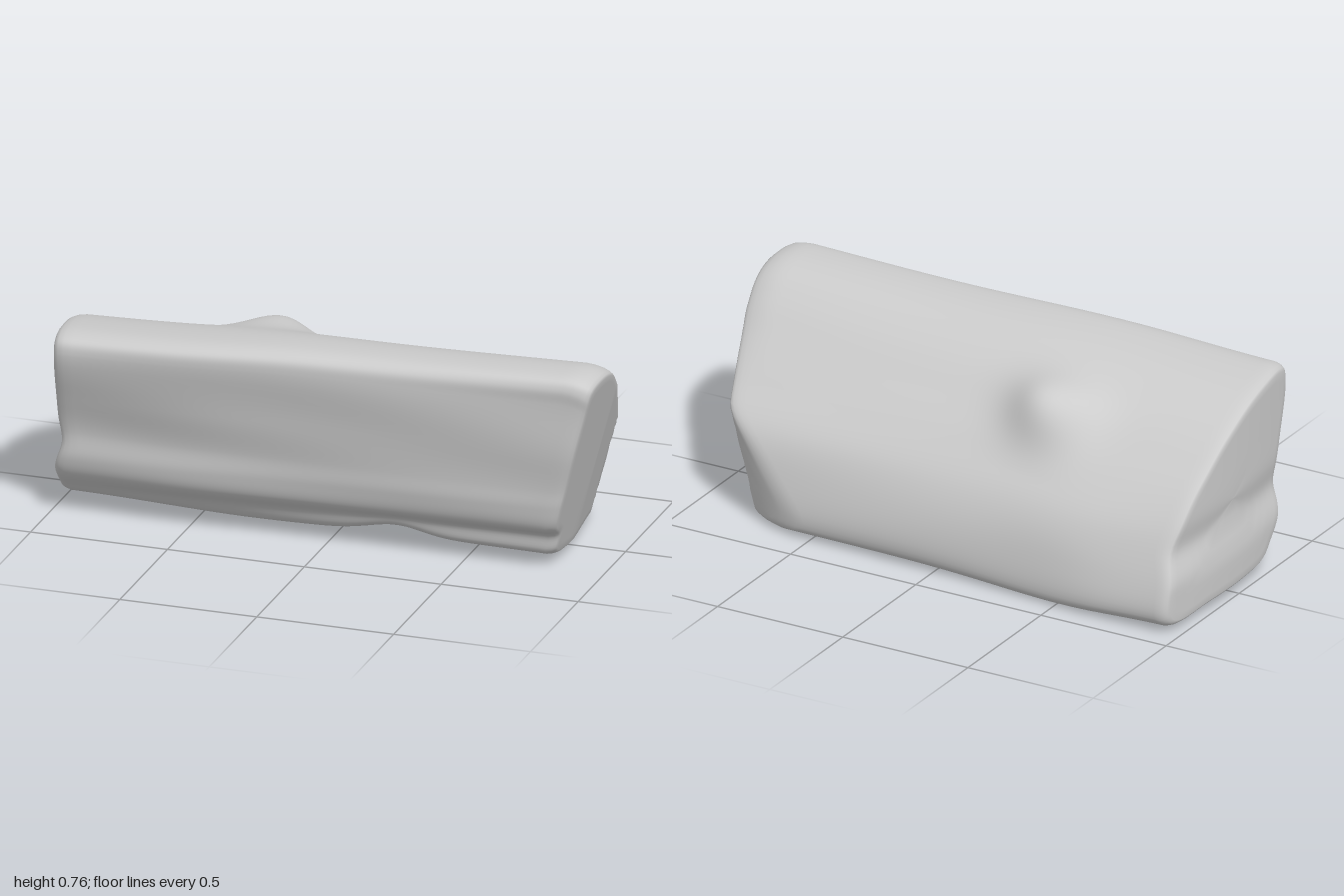
import * as THREE from 'three';

// Cross-sections as [z, y]: up the front, over the back, along the underside
const LEFT_OUT = [
  [0.19, 0.045], [0.25, 0.09], [0.31, 0.15], [0.335, 0.22], [0.34, 0.32], [0.38, 0.46], [0.435, 0.635],
  [0.425, 0.68], [0.37, 0.70], [0.25, 0.695], [0.11, 0.665], [-0.04, 0.60], [-0.15, 0.53],
  [-0.26, 0.44], [-0.355, 0.315], [-0.42, 0.16], [-0.432, 0.05], [-0.4, 0.018], [-0.2, 0.025], [0.05, 0.03],
];
const RIGHT_OUT = [
  [0.215, 0.045], [0.235, 0.115], [0.305, 0.165], [0.33, 0.25], [0.337, 0.32], [0.352, 0.46], [0.36, 0.66],
  [0.362, 0.715], [0.345, 0.745], [0.23, 0.757], [0.12, 0.732], [0.03, 0.672], [-0.08, 0.568],
  [-0.2, 0.455], [-0.315, 0.335], [-0.37, 0.19], [-0.385, 0.06], [-0.365, 0.015], [-0.2, 0.01], [0.07, 0.005],
];

const { lerp, smoothstep } = THREE.MathUtils;
const gauss = (d, w) => Math.exp(-(d * d) / (w * w));
const closedCurve = (pts) =>
  new THREE.CatmullRomCurve3(pts.map(([z, y]) => new THREE.Vector3(0, y, z)), true, 'centripetal');

// Cut faces: x of each end for a point of the section
const endRight = (z, y) => 0.805 + 0.27 * y - 11 * Math.max(0, -z - 0.25) ** 2 - 0.1 * Math.max(0, -z);
const endLeft = (z, y) => -1 + 0.2 * z * z + 0.02 * smoothstep(y, 0.15, 0.28) + 0.012 * gauss(y - 0.28, 0.06);

// Rings along the log: [position 0..1, scale]; scale < 1 forms the rounded rims and caps
function makeStations() {
  const face = [0, 0.2, 0.4, 0.55, 0.68, 0.78, 0.87, 0.945].map((s) => [0, s]);
  const cap = [...face, [0.003, 0.97], [0.009, 0.987], [0.02, 1]];
  const body = [];
  for (let i = 1; i < 60; i++) body.push([lerp(0.02, 0.98, i / 60), 1]);
  return [...cap, ...body, ...cap.map(([t, s]) => [1 - t, s]).reverse()];
}

function logGeometry() {
  const around = 140, cy = 0.35;
  const a = closedCurve(LEFT_OUT), b = closedCurve(RIGHT_OUT);
  const stations = makeStations();
  const pos = [], index = [];

  for (const [t, s] of stations) {
    for (let j = 0; j < around; j++) {
      const p = a.getPoint(j / around).lerp(b.getPoint(j / around), t);
      const xr = lerp(-0.97, 0.92, t);
      const upper = smoothstep(p.y, 0.4, 0.7);

      // Knot swelling on the sloping back
      const knot = 0.115 * gauss(xr + 0.32, 0.15) * gauss(p.z + 0.11, 0.11) * upper ** 0.3;
      p.y += knot * 0.68;
      p.z -= knot * 0.72;

      // Slightly higher crest mid-length, dropping at the right end
      p.y += upper * (0.01 * gauss(xr + 0.2, 0.35) - 0.025 * smoothstep(xr, 0.82, 0.95));

      // Hollow and foot along the lower front edge, sag of the underside
      const low = gauss(Math.max(0, p.y - 0.02), 0.07);
      p.y += low * (0.035 * gauss(xr - 0.3, 0.14) * smoothstep(p.z, 0, 0.2)
        - 0.015 * gauss(xr + 0.3, 0.4));

      // Fuller girth towards the left, with faint waviness along the grain
      p.z += 0.013 * gauss(xr + 0.5, 0.3) * smoothstep(Math.abs(p.z), 0.15, 0.35) * Math.sign(p.z);
      p.z += 0.002 * Math.sin(xr * 4 + p.y * 22) * smoothstep(Math.abs(p.z), 0.05, 0.25);

      const y = lerp(cy, p.y, s), z = p.z * s;
      pos.push(lerp(endLeft(z, y), endRight(z, y), t), y, z);
    }
  }
  for (let i = 0; i < stations.length - 1; i++) {
    for (let j = 0; j < around; j++) {
      const k = (j + 1) % around;
      const p = i * around + j, q = i * around + k, r = p + around, u = q + around;
      index.push(p, r, q, q, r, u);
    }
  }

  const geo = new THREE.BufferGeometry();
  geo.setAttribute('position', new THREE.Float32BufferAttribute(pos, 3));
  geo.setIndex(index);
  // Rest on the ground, centred
  geo.computeBoundingBox();
  const c = geo.boundingBox.getCenter(new THREE.Vector3());
  geo.translate(-c.x, -geo.boundingBox.min.y, -c.z);
  geo.computeVertexNormals();
  return geo;
}

export function createModel() {
  const group = new THREE.Group();
  group.name = 'splitLog';
  const log = new THREE.Mesh(logGeometry(), new THREE.MeshStandardMaterial({ color: 0xcccccc }));
  log.name = 'logBody';
  group.add(log);
  return group;
}
